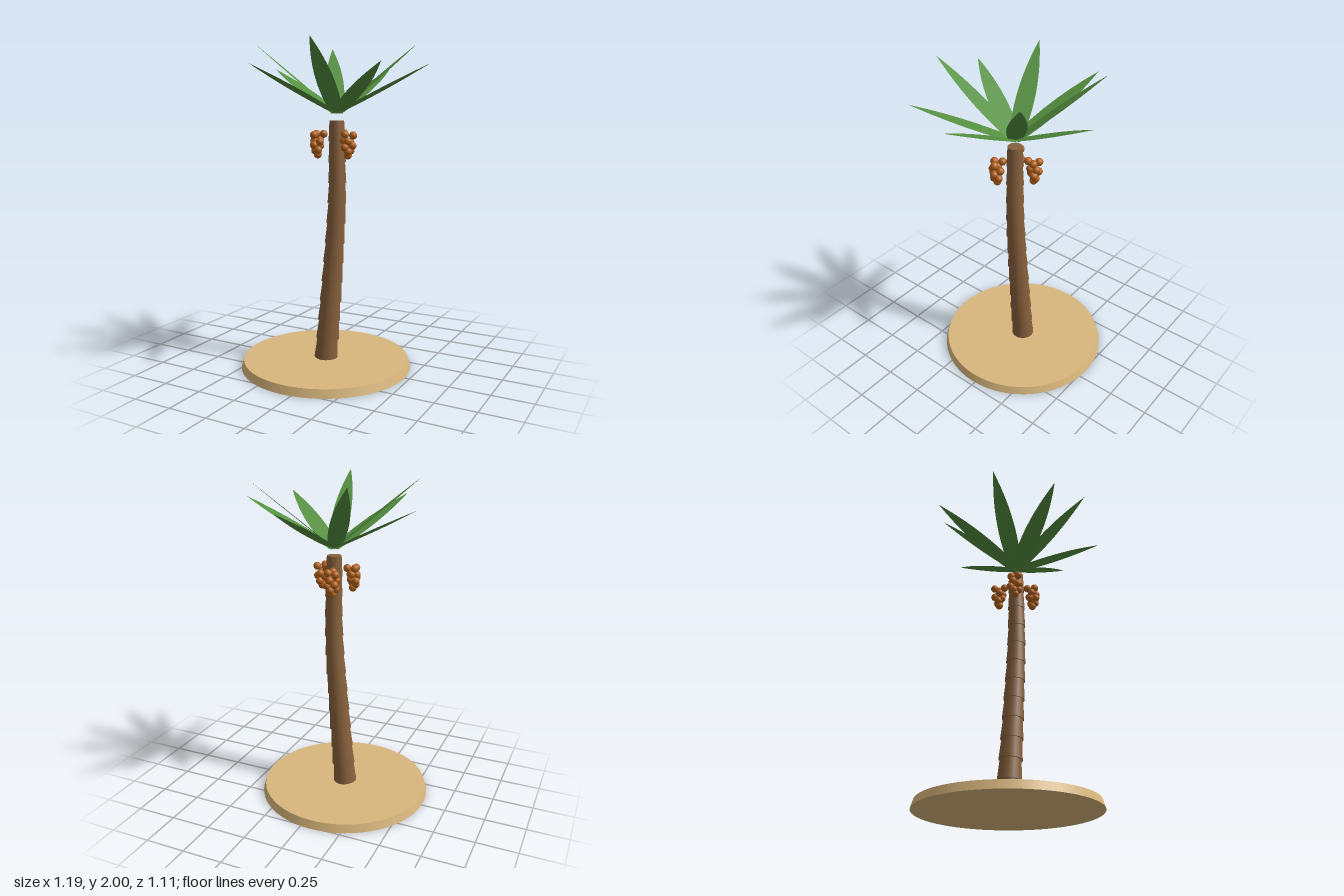
import * as THREE from 'three';

const paint = (name, color, side = THREE.FrontSide) => {
  const m = new THREE.MeshStandardMaterial({ color, side });
  m.name = name;
  return m;
};

export function createModel() {
  const sand = paint('sand', 0xd8b67c);
  const bark = paint('bark', 0x86603c);
  const leafGreen = paint('leafGreen', 0x559040, THREE.DoubleSide);
  const fruitOrange = paint('fruitOrange', 0xb0611c);

  const model = new THREE.Group();
  model.name = 'palmTree';
  const add = (parent, name, geometry, material) => {
    const mesh = new THREE.Mesh(geometry, material);
    mesh.name = name;
    parent.add(mesh);
    return mesh;
  };
  const group = (name) => {
    const g = new THREE.Group();
    g.name = name;
    model.add(g);
    return g;
  };

  // Round sand base
  add(model, 'sandBase', new THREE.CylinderGeometry(0.52, 0.535, 0.05, 64), sand)
    .position.set(-0.065, 0.025, 0.02);

  // Leaning trunk: tapered rings, each wider at its foot than the one below at its top
  const trunk = group('trunk');
  const axis = new THREE.CatmullRomCurve3([
    [-0.065, 0.05], [-0.022, 0.55], [0.013, 1.05], [0.012, 1.545],
  ].map(([x, y]) => new THREE.Vector3(x, y, 0.02)));
  const rings = 12;
  const up = new THREE.Vector3(0, 1, 0);
  for (let i = 0; i < rings; i++) {
    const a = axis.getPointAt(i / rings);
    const b = axis.getPointAt((i + 1) / rings);
    const r = 0.074 - 0.0021 * i;
    const ring = add(trunk, 'trunkRing',
      new THREE.CylinderGeometry(r * 0.87, r, a.distanceTo(b), 24), bark);
    ring.position.lerpVectors(a, b, 0.5);
    ring.quaternion.setFromUnitVectors(up, b.sub(a).normalize());
  }

  // Flat pointed leaf, rooted at the origin and pointing to +z
  const outline = new THREE.Shape();
  outline.moveTo(0.037, 0);
  outline.lineTo(-0.037, 0);
  outline.bezierCurveTo(-0.068, -0.2, -0.066, -0.4, 0, -0.645);
  outline.bezierCurveTo(0.066, -0.4, 0.068, -0.2, 0.037, 0);
  const leafGeometry = new THREE.ShapeGeometry(outline, 12).rotateX(-Math.PI / 2);

  // Crown of nine leaves, four of them steeper
  const crown = group('crown');
  crown.position.set(0.012, 1.587, 0.02);
  for (let i = 0; i < 9; i++) {
    const steep = i > 0 && i % 2 === 0;
    const leaf = add(crown, 'leaf', leafGeometry, leafGreen);
    leaf.rotation.order = 'YXZ';
    leaf.rotation.y = Math.PI / 2 - THREE.MathUtils.degToRad(40 * i - 1.5);
    leaf.rotation.x = -THREE.MathUtils.degToRad(steep ? 39.8 : 25.7);
  }

  // Three hanging fruit bunches: [outward, height, sideways] of each fruit
  const fruits = [
    [0.08, 1.465, 0.0], [0.12, 1.465, 0.025], [0.14, 1.46, -0.02],
    [0.1, 1.43, 0.02], [0.135, 1.425, 0.015], [0.105, 1.42, -0.025],
    [0.14, 1.4, -0.015], [0.1, 1.395, 0.005], [0.125, 1.39, 0.03],
    [0.115, 1.37, -0.02], [0.13, 1.365, 0.01], [0.115, 1.342, 0.0],
  ];
  const fruitGeometry = new THREE.SphereGeometry(0.024, 16, 12);
  [27, 145, 252].forEach((degrees) => {
    const bunch = group('fruitBunch');
    bunch.position.set(0.012, 0, 0.02);
    bunch.rotation.y = -THREE.MathUtils.degToRad(degrees);
    fruits.forEach((p) => add(bunch, 'fruit', fruitGeometry, fruitOrange).position.set(...p));
  });

  return model;
}
